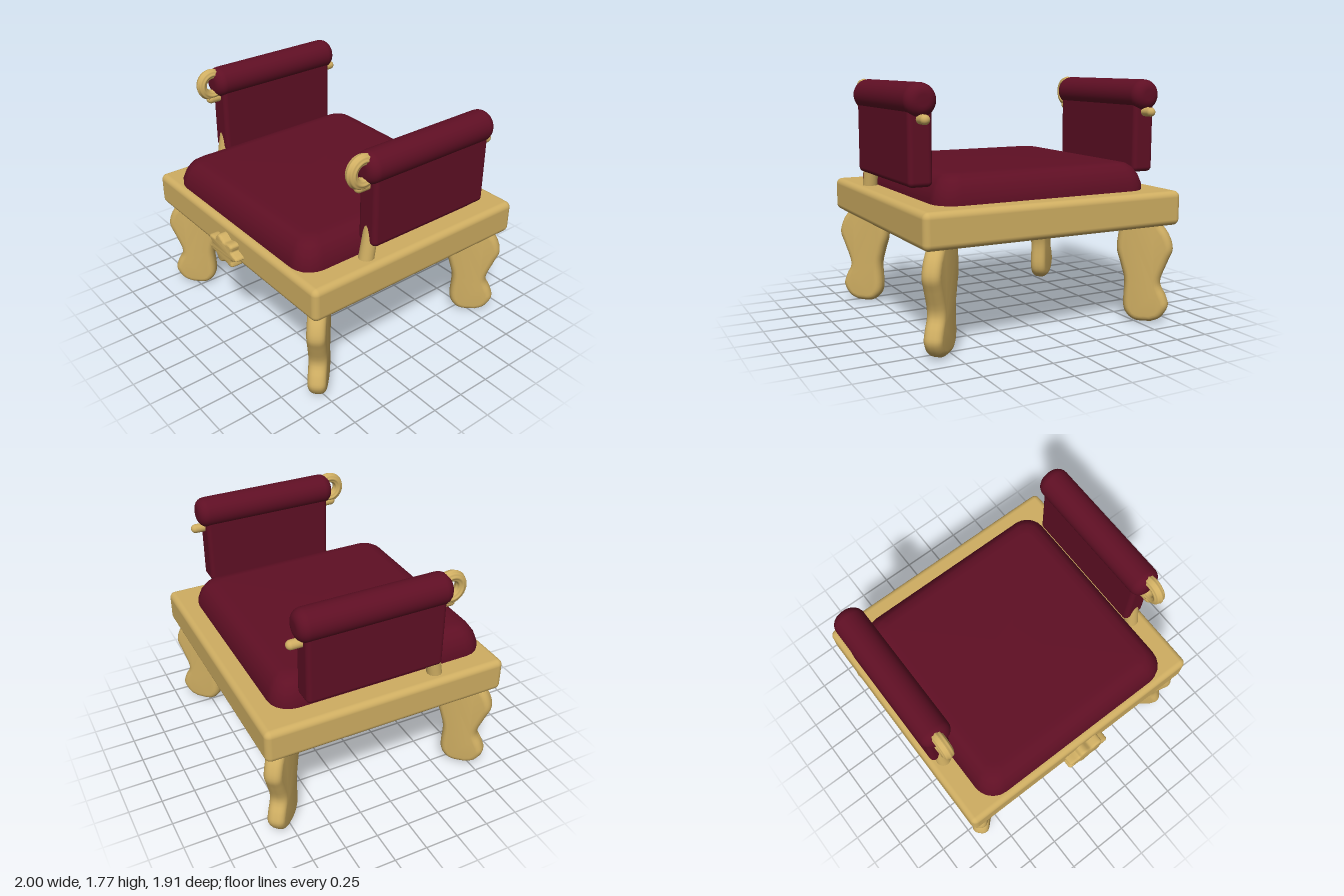
import * as THREE from 'three';
import { toCreasedNormals } from 'three/addons/utils/BufferGeometryUtils.js';
import { RoundedBoxGeometry } from 'three/addons/geometries/RoundedBoxGeometry.js';

const wood = new THREE.MeshStandardMaterial({ color: 0xcfae62 });
wood.name = 'golden wood';
const fabric = new THREE.MeshStandardMaterial({ color: 0x5f0f24 });
fabric.name = 'burgundy fabric';

function part(name, geometry, material, x = 0, y = 0, z = 0) {
  const mesh = new THREE.Mesh(geometry, material);
  mesh.name = name;
  mesh.position.set(x, y, z);
  return mesh;
}

// Flat plate with fully rounded rim, centred on z, kept inside its outline
function roundedPlate(shape, thickness, bevelThickness, bevelSize) {
  const depth = thickness - 2 * bevelThickness;
  const geometry = new THREE.ExtrudeGeometry(shape, {
    depth, bevelThickness, bevelSize, bevelOffset: -bevelSize, bevelSegments: 5, curveSegments: 12,
  });
  geometry.translate(0, 0, -depth / 2);
  return toCreasedNormals(geometry, 0.7);
}

// Curved leg outline: x is outward along the diagonal
function legGeometry() {
  const outline = [
    [0.06, 0], [0.13, 0.035], [0.18, 0.12], [0.16, 0.2], [0.118, 0.3], [0.168, 0.45],
    [0.203, 0.55], [0.175, 0.65], [0.118, 0.73], [0.07, 0.77], [-0.15, 0.77], [-0.178, 0.73],
    [-0.203, 0.55], [-0.17, 0.42], [-0.142, 0.3], [-0.147, 0.12], [-0.115, 0.04], [-0.05, 0],
  ].map(([x, y]) => new THREE.Vector2(x, y));
  const curve = new THREE.SplineCurve([...outline, outline[0]]);
  return roundedPlate(new THREE.Shape(curve.getPoints(72).slice(0, -1)), 0.13, 0.055, 0.045);
}

// Seven-petalled rosette, wider than tall
function rosetteGeometry() {
  const points = [];
  for (let i = 0; i < 112; i++) {
    const a = (i / 112) * Math.PI * 2;
    const r = 0.86 + 0.14 * Math.cos(7 * a);
    points.push(new THREE.Vector2(0.185 * r * Math.cos(a), 0.113 * r * Math.sin(a)));
  }
  return roundedPlate(new THREE.Shape(points), 0.1, 0.02, 0.016);
}

// Seat cushion: rounded rectangles shrinking towards the top
function cushionGeometry() {
  const rows = [[0, 0.96], [0, 1.02], [0.025, 1.09], [0.06, 1.14], [0.1, 1.167], [0.17, 1.18]];
  const steps = 5, ring = 4 * (steps + 1);
  const positions = [], index = [];
  for (const [inset, y] of rows) {
    const radius = Math.max(0.16 - inset * 0.6, 0.03);
    for (let c = 0; c < 4; c++) {
      const sx = c === 0 || c === 3 ? 1 : -1, sz = c < 2 ? 1 : -1;
      for (let i = 0; i <= steps; i++) {
        const a = (c + i / steps) * Math.PI / 2;
        positions.push(
          sx * (0.83 - inset - radius) + radius * Math.cos(a), y,
          sz * (0.82 - inset - radius) + radius * Math.sin(a));
      }
    }
  }
  for (let r = 0; r < rows.length - 1; r++) {
    for (let i = 0; i < ring; i++) {
      const a = r * ring + i, b = r * ring + (i + 1) % ring;
      index.push(a, a + ring, b, b, a + ring, b + ring);
    }
  }
  const centre = positions.length / 3, last = (rows.length - 1) * ring;
  positions.push(0, 1.182, 0);
  for (let i = 0; i < ring; i++) index.push(centre, last + (i + 1) % ring, last + i);
  const geometry = new THREE.BufferGeometry();
  geometry.setAttribute('position', new THREE.Float32BufferAttribute(positions, 3));
  geometry.setIndex(index);
  geometry.computeVertexNormals();
  return geometry;
}

// Bolster along z with softly rounded ends
function bolsterGeometry(radius, length, edge) {
  const points = [new THREE.Vector2(0, -length / 2)];
  for (const end of [-1, 1]) {
    for (let i = 0; i <= 6; i++) {
      const a = (end < 0 ? i / 6 - 1 : i / 6) * Math.PI / 2;
      points.push(new THREE.Vector2(
        radius - edge + edge * Math.cos(a), end * (length / 2 - edge) + edge * Math.sin(a)));
    }
  }
  points.push(new THREE.Vector2(0, length / 2));
  return new THREE.LatheGeometry(points, 32).rotateX(Math.PI / 2);
}

// Fluted scroll ring around the x axis
function scrollRingGeometry() {
  const points = [];
  for (let i = 0; i <= 48; i++) {
    const a = (i / 48) * Math.PI * 2;
    const r = 0.037 + 0.002 * Math.cos(8 * a);
    points.push(new THREE.Vector2(0.083 + r * Math.cos(a), 1.1 * r * Math.sin(a)));
  }
  return new THREE.LatheGeometry(points, 40).rotateZ(Math.PI / 2);
}

function createArm(side) {
  const arm = new THREE.Group();
  arm.name = side > 0 ? 'leftArm' : 'rightArm';
  const x = side * 0.886;
  arm.add(part('armPad', new RoundedBoxGeometry(0.172, 0.56, 1.02, 4, 0.035), fabric, x, 1.37, -0.13));
  arm.add(part('armRoll', bolsterGeometry(0.114, 1.12, 0.075), fabric, x, 1.656, -0.13));
  // Rod running under the roll, ending in the scroll
  const rod = new THREE.CapsuleGeometry(0.034, 1.16, 8, 16).rotateX(Math.PI / 2);
  arm.add(part('armRod', rod, wood, x, 1.535, -0.13));
  arm.add(part('scrollRing', scrollRingGeometry(), wood, side * 0.893, 1.65, 0.435));
  // Post leaning back into the pad
  const post = part('armPost', new THREE.CylinderGeometry(0.046, 0.055, 0.6, 20), wood, x, 1.25, 0.325);
  post.rotation.x = -0.17;
  arm.add(post);
  return arm;
}

export function createModel() {
  const model = new THREE.Group();
  model.name = 'chair';

  model.add(part('seatFrame', new RoundedBoxGeometry(2, 0.25, 1.84, 4, 0.045), wood, 0, 0.855, -0.03));
  model.add(part('seatCushion', cushionGeometry(), fabric, 0, 0, 0.02));
  model.add(part('rosette', rosetteGeometry(), wood, 0, 0.81, 0.908));

  // Legs stand on the diagonals
  const leg = legGeometry();
  for (const sx of [-1, 1]) {
    for (const [sz, z, name] of [[1, 0.7175, 'frontLeg'], [-1, -0.7725, 'backLeg']]) {
      const mesh = part(name, leg, wood, sx * 0.8175, 0, z);
      mesh.rotation.y = Math.atan2(-sz, sx);
      model.add(mesh);
    }
    model.add(createArm(sx));
  }
  return model;
}
